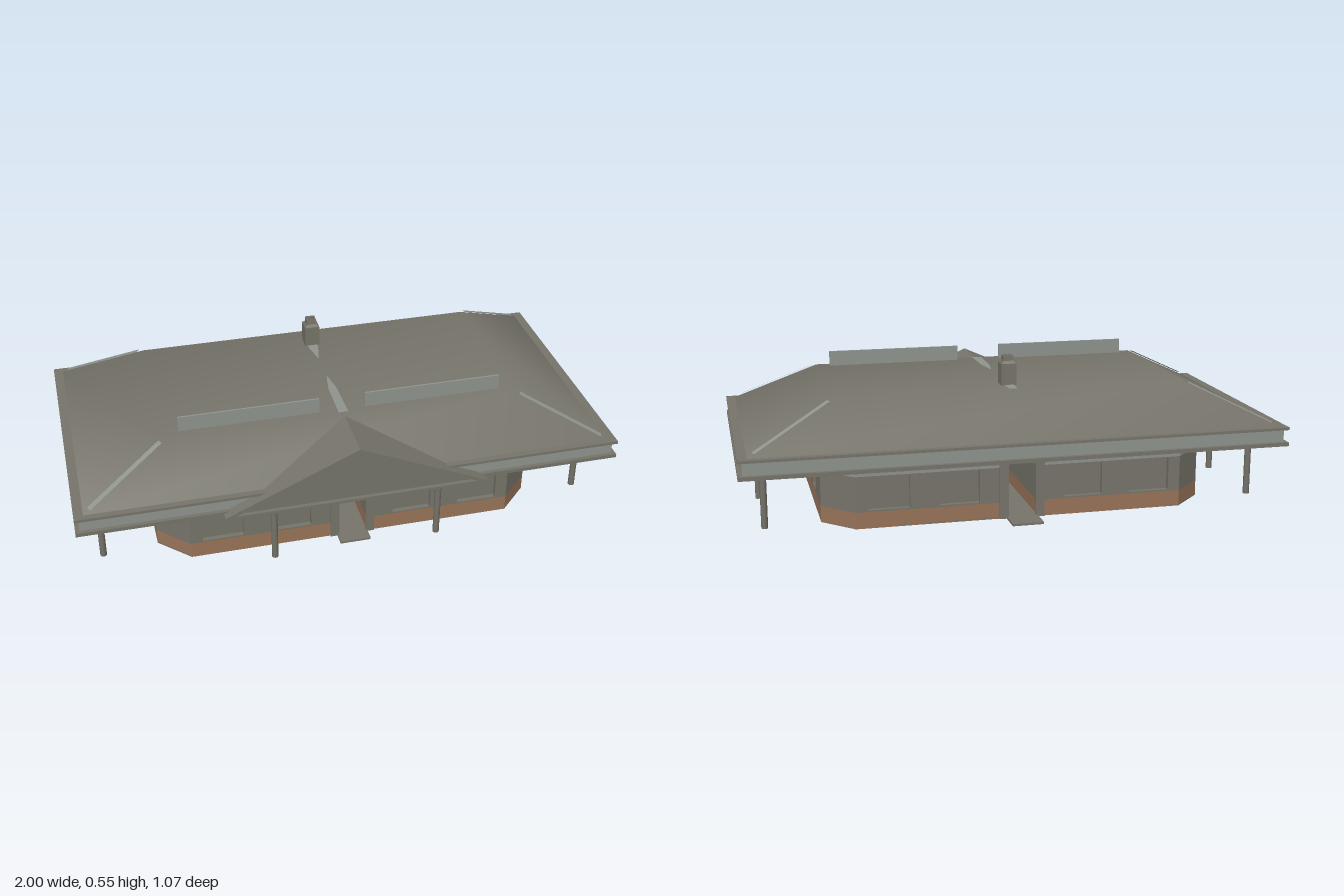
import * as THREE from 'three';

const mat = (name, color) => Object.assign(new THREE.MeshStandardMaterial({ color }), { name });

export function createModel() {
  const model = new THREE.Group();
  model.name = 'house';
  const stone = mat('warm grey', 0x76746a);
  const light = mat('light grey', 0x8f948e);
  const brick = mat('brown brick', 0x987459);
  const strip = mat('light cap', 0x8f948e);
  strip.side = THREE.DoubleSide;

  const add = (name, geo, material, parent = model) => {
    const m = new THREE.Mesh(geo, material);
    m.name = name;
    parent.add(m);
    return m;
  };
  // Box given by its limits on each axis
  const box = (name, x0, x1, y0, y1, z0, z1, material, parent) => {
    const g = new THREE.BoxGeometry(x1 - x0, y1 - y0, z1 - z0);
    g.translate((x0 + x1) / 2, (y0 + y1) / 2, (z0 + z1) / 2);
    return add(name, g, material, parent);
  };
  const poly = (pts) => new THREE.Shape(pts.map(([x, y]) => new THREE.Vector2(x, y)));
  const extrude = (shape, depth) => new THREE.ExtrudeGeometry(shape, { depth, bevelEnabled: false });

  // One wall run from a to b (x, z), with recessed windows at distances [u0, u1]
  const wall = (a, b, windows) => {
    const dx = b[0] - a[0], dz = b[1] - a[1], len = Math.hypot(dx, dz);
    const g = new THREE.Group();
    g.name = 'wall';
    g.position.set(a[0], 0, a[1]);
    g.rotation.y = Math.atan2(-dz, dx);
    const shape = poly([[0, 0.06], [len, 0.06], [len, 0.225], [0, 0.225]]);
    for (const [u0, u1] of windows) {
      shape.holes.push(poly([[u0, 0.066], [u0, 0.187], [u1, 0.187], [u1, 0.066]]));
      box('windowPane', u0, u1, 0.066, 0.187, -0.03, -0.018, stone, g);
    }
    add('wallPanel', extrude(shape, 0.025).translate(0, 0, -0.025), stone, g);
    box('brickBase', 0, len, 0, 0.06, -0.025, 0, brick, g);
    box('upperBand', 0, len, 0.19, 0.224, -0.01, 0.001, light, g);
    model.add(g);
  };

  // Two halves of the building with chamfered corners, divided by an open hall
  const half = [[0.055, 0.44], [0.6, 0.44], [0.71, 0.33], [0.71, -0.33], [0.6, -0.44], [0.055, -0.44]];
  const longWindows = [[0.155, 0.3], [0.406, 0.556]];
  const sideWindows = [[-0.155, -0.05], [0.1, 0.25]];
  for (const side of [1, -1]) {
    const pts = half.map(([x, z]) => [x * side, z]);
    if (side < 0) pts.reverse();
    pts.forEach((a, i) => {
      const b = pts[(i + 1) % pts.length];
      let windows = [];
      if (a[1] === b[1]) windows = longWindows.map((w) => w.map((v) => Math.abs(v - Math.abs(a[0]))));
      else if (Math.abs(a[0]) === 0.71 && Math.abs(b[0]) === 0.71)
        windows = sideWindows.map((w) => w.map((v) => Math.abs(v - a[1])));
      wall(a, b, windows.map((w) => w.sort((p, q) => p - q)));
    });
    // Door jambs, front and back
    for (const z of [0.438, -0.446])
      box('doorJamb', side > 0 ? 0.05 : -0.083, side > 0 ? 0.083 : -0.05, 0, 0.222, z, z + 0.008, stone);
  }
  box('hallCeiling', -0.056, 0.056, 0.205, 0.23, -0.442, 0.442, stone);
  box('doorstep', -0.057, 0.057, 0, 0.008, -0.535, 0.495, stone);
  const outline = [...half, ...half.map(([x, z]) => [-x, z]).reverse()];
  add('floor', extrude(poly(outline), 0.005).rotateX(-Math.PI / 2).translate(0, 0.001, 0), stone);

  // Columns with flared capitals
  const profile = [[0, 0], [0.012, 0], [0.012, 0.195], [0.017, 0.21], [0.017, 0.222]]
    .map(([x, y]) => new THREE.Vector2(x, y));
  for (const x of [-1, 1])
    for (const [px, pz] of [[0.91, 0.35], [0.91, 0.015], [0.91, -0.35], [0.305, 0.505]])
      add('column', new THREE.LatheGeometry(profile, 12), stone).position.set(x * px, 0, pz);

  // Eaves: two lips with the fascia set back between them
  box('lowerLip', -1, 1, 0.22, 0.234, -0.507, 0.507, stone);
  box('fascia', -0.985, 0.985, 0.234, 0.281, -0.492, 0.492, light);
  box('upperLip', -1, 1, 0.281, 0.291, -0.507, 0.507, stone);

  // Softly shaded hip roof with a flat top
  const ring = (x, y, z) => [-x, y, z, x, y, z, x, y, -z, -x, y, -z];
  const roof = new THREE.BufferGeometry();
  roof.setAttribute('position', new THREE.Float32BufferAttribute(
    [...ring(0.97, 0.289, 0.485), ...ring(0.65, 0.445, 0.31)], 3));
  const index = [4, 5, 6, 4, 6, 7];
  for (let i = 0; i < 4; i++) {
    const j = (i + 1) % 4;
    index.push(i, j, j + 4, i, j + 4, i + 4);
  }
  roof.setIndex(index);
  roof.computeVertexNormals();
  add('hipRoof', roof, stone);

  // Thin light caps on the hips and on the flat top
  const quad = (name, p) => {
    const g = new THREE.BufferGeometry();
    g.setAttribute('position', new THREE.Float32BufferAttribute(p.flat(), 3));
    g.setIndex([0, 1, 2, 0, 2, 3]);
    g.computeVertexNormals();
    add(name, g, strip);
  };
  for (const sx of [1, -1]) {
    for (const sz of [1, -1]) {
      const low = [0.945 * sx, 0.306, 0.471 * sz], high = [0.67 * sx, 0.44, 0.321 * sz];
      const off = ([x, y, z], s) => [x + 0.005 * s * sx, y, z - 0.009 * s * sz];
      const p = [off(low, -1), off(low, 1), off(high, 1), off(high, -1)];
      quad('hipCap', sx * sz > 0 ? p : p.reverse());
    }
  }
  const taper = (z0, w0, z1, w1) => quad('ridgeCap',
    [[-w0, 0.447, z0], [w0, 0.447, z0], [w1, 0.447, z1], [-w1, 0.447, z1]]);
  taper(0.3, 0.018, 0.14, 0.016);
  taper(0.14, 0.016, 0.05, 0.002);
  taper(-0.09, 0.002, -0.18, 0.02);
  taper(-0.18, 0.02, -0.31, 0.015);

  // Front gable: rake frame around a slightly recessed face
  const frame = poly([[-0.485, 0.217], [0.485, 0.217], [0.485, 0.224], [0, 0.44], [-0.485, 0.224]]);
  frame.holes.push(poly([[-0.445, 0.228], [0, 0.427], [0.445, 0.228]]));
  add('gableFrame', extrude(frame, 0.035).translate(0, 0, 0.5), stone);
  const gable = poly([[-0.485, 0.219], [0.485, 0.219], [0.485, 0.224], [0, 0.44], [-0.485, 0.224]]);
  add('gable', extrude(gable, 0.22).translate(0, 0, 0.3), stone);

  // Upright panels on the roof
  for (const s of [1, -1])
    box('roofPanel', s > 0 ? 0.085 : -0.6, s > 0 ? 0.6 : -0.085, 0.44, 0.502, 0.272, 0.279, light);

  // Chimney with a tapered, open flue
  box('chimney', -0.028, 0.028, 0.43, 0.525, -0.246, -0.19, stone);
  const flue = [[0.013, 0.528], [0.013, 0.553], [0.018, 0.553], [0.019, 0.535], [0.026, 0.524]]
    .reverse().map(([r, y]) => new THREE.Vector2(r * Math.SQRT2, y));
  const flueGeo = new THREE.LatheGeometry(flue, 4).rotateY(Math.PI / 4).toNonIndexed();
  flueGeo.computeVertexNormals();
  add('flue', flueGeo, stone).position.z = -0.218;

  return model;
}
